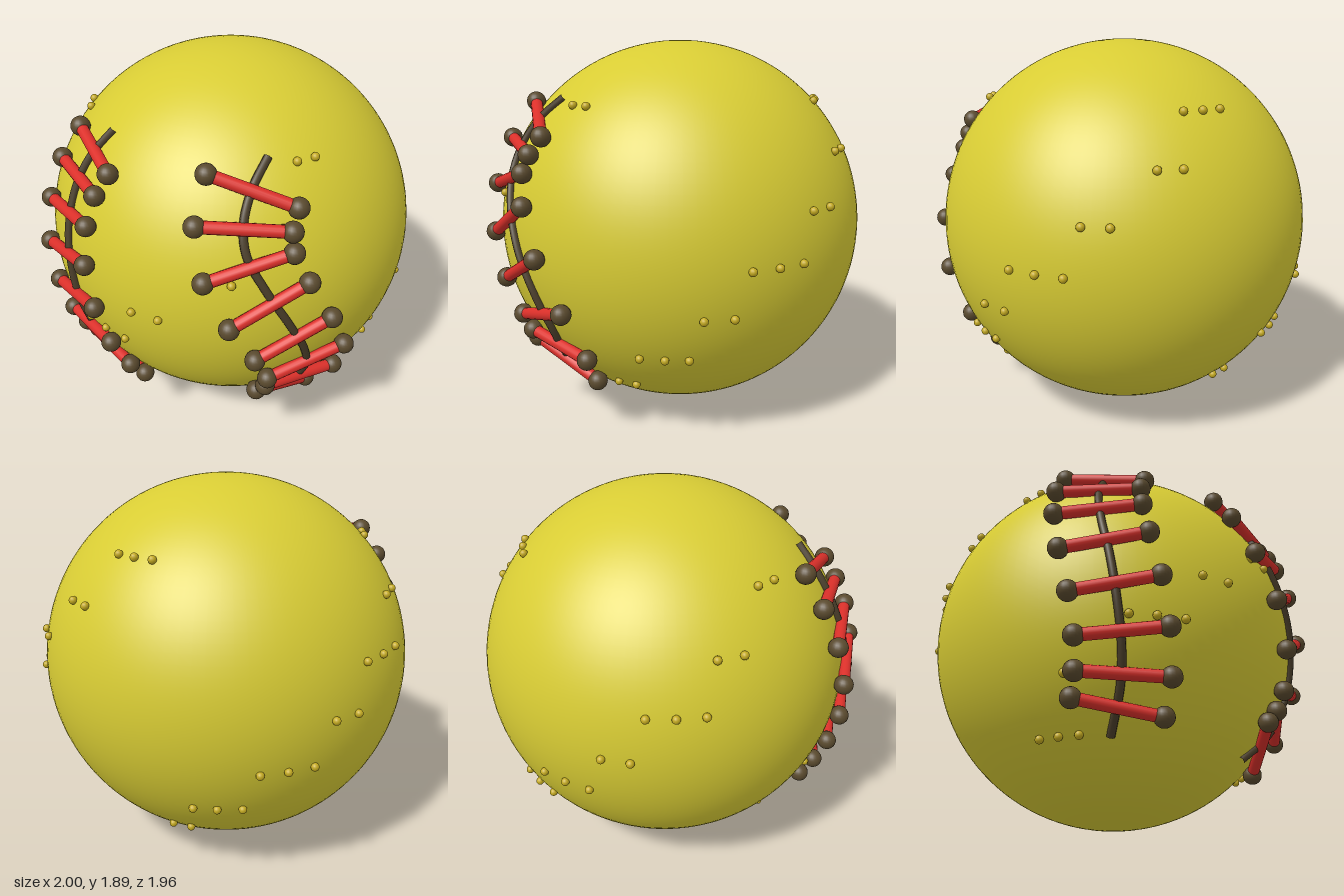
import * as THREE from 'three';

const CENTER = new THREE.Vector3(-0.025, 0.952, -0.03);
const R = 0.947;

const material = (name, color) => {
  const m = new THREE.MeshStandardMaterial({ color });
  m.name = name;
  return m;
};

export function createModel() {
  const leather = material('yellow leather', 0xd8cc34);
  const pebble = material('dark gold', 0xc4aa20);
  const thread = material('red thread', 0xdc302a);
  const knot = material('brown knot', 0x5a4a2e);
  const groove = material('dark brown seam', 0x4a3e2a);

  const model = new THREE.Group();
  model.name = 'ball';
  const add = (parent, name, geometry, mat) => {
    const mesh = new THREE.Mesh(geometry, mat);
    mesh.name = name;
    parent.add(mesh);
    return mesh;
  };

  add(model, 'ballBody', new THREE.SphereGeometry(R, 96, 64), leather).position.copy(CENTER);

  // Places a point at a given height above the ball, from y and either x (front) or z (side)
  const onBall = (axis, h, y, radius) => {
    const a = h - CENTER[axis], b = y - CENTER.y;
    const c = Math.sqrt(radius * radius - a * a - b * b);
    return (axis === 'x' ? new THREE.Vector3(a, b, c) : new THREE.Vector3(c, b, a)).add(CENTER);
  };

  const knotGeo = new THREE.SphereGeometry(0.048, 20, 14);
  const up = new THREE.Vector3(0, 1, 0);

  // One seam line with its stitches; stitches are [h1, y1, h2, y2]
  const addSeam = (name, axis, line, stitches) => {
    const seam = new THREE.Group();
    seam.name = name;
    const curve = new THREE.CatmullRomCurve3(line.map(([h, y]) => onBall(axis, h, y, R + 0.008)));
    add(seam, 'seamLine', new THREE.TubeGeometry(curve, 64, 0.019, 10), groove);
    for (const [h1, y1, h2, y2] of stitches) {
      const a = onBall(axis, h1, y1, 0.986), b = onBall(axis, h2, y2, 0.986);
      const dir = b.clone().sub(a);
      const bar = add(seam, 'stitch', new THREE.CylinderGeometry(0.029, 0.029, dir.length(), 16), thread);
      bar.position.copy(a).add(b).multiplyScalar(0.5);
      bar.quaternion.setFromUnitVectors(up, dir.normalize());
      for (const p of [a, b]) add(seam, 'stitchKnot', knotGeo, knot).position.copy(p);
    }
    model.add(seam);
  };

  addSeam('frontSeam', 'x',
    [[-0.015, 1.64], [-0.06, 1.52], [-0.075, 1.38], [-0.055, 1.19], [-0.02, 1.01],
      [0.01, 0.815], [0.032, 0.60], [0.027, 0.45], [-0.018, 0.265]],
    [[-0.246, 1.585, 0.144, 1.52], [-0.278, 1.435, 0.123, 1.422],
      [-0.273, 1.243, 0.128, 1.286], [-0.241, 1.024, 0.155, 1.104],
      [-0.193, 0.81, 0.203, 0.885], [-0.166, 0.623, 0.235, 0.666],
      [-0.166, 0.489, 0.241, 0.473], [-0.182, 0.393, 0.209, 0.329]]);

  addSeam('sideSeam', 'z',
    [[0.225, 1.634], [0.34, 1.535], [0.419, 1.41], [0.44, 1.29], [0.393, 1.133],
      [0.298, 0.935], [0.194, 0.726], [0.141, 0.559], [0.157, 0.412], [0.236, 0.272]],
    [[0.487, 1.598, 0.204, 1.467], [0.597, 1.415, 0.257, 1.384],
      [0.623, 1.19, 0.272, 1.3], [0.555, 0.966, 0.225, 1.159],
      [0.445, 0.757, 0.115, 0.94], [0.356, 0.58, -0.01, 0.695],
      [0.335, 0.486, -0.063, 0.444], [0.351, 0.423, -0.01, 0.266]]);

  // Small bumps in level rows: height, then angles from +x towards +z in degrees
  const rows = [
    [1.605, 4.5, 12, 121.3, 129.5, 239, 247, 255],
    [1.385, 21, 29, 141.7, 150, 259.6, 267.3],
    [1.163, 35.8, 43.5, 154, 162, 170, 280, 287.6],
    [0.94, 55.9, 64.2, 174, 182, 292, 300, 308],
    [0.72, 69, 77, 84.5, 187, 195, 203, 312, 320.5],
    [0.497, 87, 95, 103, 207, 215, 222.6, 324, 331.5, 339.5],
    [0.275, 101, 109, 117, 227, 235, 345, 353],
  ];
  const bumps = new THREE.Group();
  bumps.name = 'surfaceBumps';
  const bumpGeo = new THREE.SphereGeometry(0.02, 14, 10);
  for (const [y, ...angles] of rows) {
    const ring = Math.sqrt(0.955 ** 2 - (y - CENTER.y) ** 2);
    for (const deg of angles) {
      const t = THREE.MathUtils.degToRad(deg);
      add(bumps, 'bump', bumpGeo, pebble).position.set(
        CENTER.x + ring * Math.cos(t), y, CENTER.z + ring * Math.sin(t));
    }
  }
  model.add(bumps);
  return model;
}
